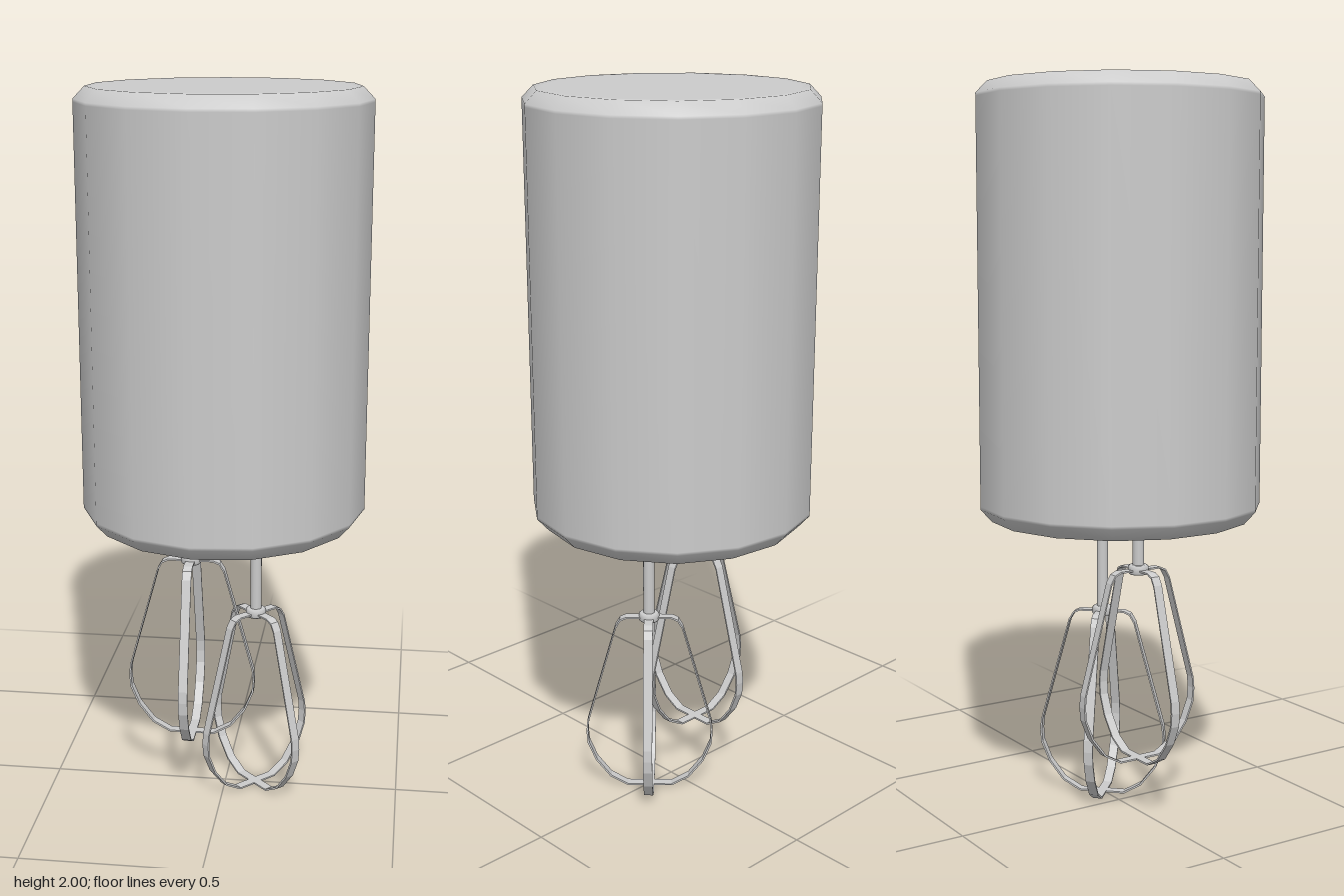
import * as THREE from 'three';

const material = new THREE.MeshStandardMaterial({ color: 0xcccccc });

function part(name, geometry, parent) {
  const mesh = new THREE.Mesh(geometry, material);
  mesh.name = name;
  parent.add(mesh);
  return mesh;
}

// Flat wire loop: a thin closed outline given depth, with its top at y = 0
function wireLoopGeometry() {
  // Right half from bottom to top, so the whole outline runs anticlockwise
  const half = [[0.065, -0.54], [0.115, -0.512], [0.157, -0.458], [0.18, -0.402], [0.183, -0.365],
    [0.18, -0.332], [0.096, -0.03], [0.083, -0.008], [0.065, 0]];
  const outline = [...half, ...half.map(([x, y]) => [-x, y]).reverse()];
  const middle = -0.27, width = 0.026;
  const inset = outline.map(([x, y]) => new THREE.Vector2(x * 0.973, middle + (y - middle) * 0.983));
  const shape = new THREE.Shape(outline.map(([x, y]) => new THREE.Vector2(x, y)));
  shape.holes.push(new THREE.Path(inset));
  return new THREE.ExtrudeGeometry(shape, { depth: width, bevelEnabled: false }).translate(0, 0, -width / 2);
}

// Beater: shaft, collar and two crossed wire loops
function beater(name, x, top, turn) {
  const group = new THREE.Group();
  group.name = name;
  group.position.set(x, top, 0);
  group.rotation.y = turn;
  const length = 0.84 - top;
  part('shaft', new THREE.CylinderGeometry(0.016, 0.016, length, 12).translate(0, length / 2, 0), group);
  const collar = [[0, -0.014], [0.024, -0.014], [0.029, -0.009], [0.029, 0.007], [0.024, 0.012], [0, 0.012]];
  part('collar', new THREE.LatheGeometry(collar.map(([r, y]) => new THREE.Vector2(r, y)), 16), group);
  const loop = wireLoopGeometry();
  for (let i = 0; i < 2; i++) part('wireLoop', loop, group).rotation.y = i * Math.PI / 2;
  return group;
}

export function createModel() {
  const model = new THREE.Group();
  model.name = 'handMixer';

  // Fifteen-sided motor housing; extra rings keep the wall and ends evenly shaded
  const profile = [[0, 0.825], [0.335, 0.825], [0.36, 0.825], [0.391, 0.86], [0.391, 0.868],
    [0.391, 1.96], [0.391, 1.968], [0.36, 2], [0.335, 2], [0, 2]];
  const housing = new THREE.LatheGeometry(
    profile.map(([r, y]) => new THREE.Vector2(r, y)), 15, Math.PI / 2);
  part('motorHousing', housing, model).position.x = -0.004;

  // Two beaters at different heights, turned so that their loops interleave
  model.add(beater('rightBeater', -0.098, 0.692, 0));
  model.add(beater('leftBeater', 0.087, 0.54, Math.PI / 4));
  return model;
}
